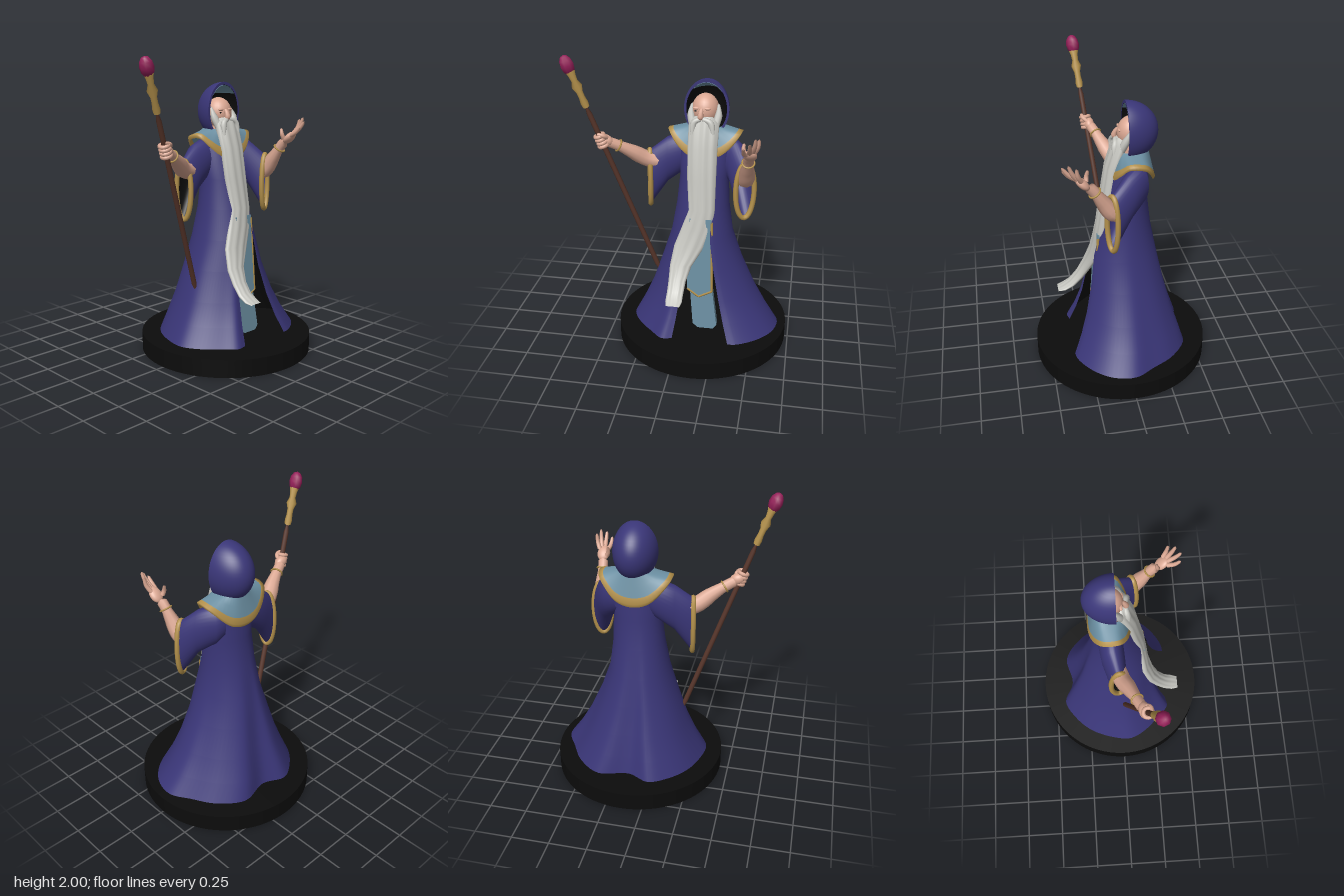
import * as THREE from 'three';

const V = (x, y, z) => new THREE.Vector3(x, y, z);
const mat = (name, color, side = THREE.FrontSide) => {
  const m = new THREE.MeshStandardMaterial({ color, side });
  m.name = name;
  return m;
};

// Surface through rows of points; wrap joins the last column to the first
function loft(rows, wrap) {
  const n = rows[0].length, idx = [];
  for (let r = 0; r < rows.length - 1; r++) {
    for (let c = 0; c < (wrap ? n : n - 1); c++) {
      const a = r * n + c, b = r * n + (c + 1) % n;
      idx.push(a, b, b + n, a, b + n, a + n);
    }
  }
  const g = new THREE.BufferGeometry().setFromPoints(rows.flat());
  g.setIndex(idx);
  g.computeVertexNormals();
  return g;
}

// Same surface facing the other way
function flipped(geo) {
  const g = geo.clone(), i = Array.from(g.index.array);
  for (let k = 0; k < i.length; k += 3) [i[k], i[k + 1]] = [i[k + 1], i[k]];
  g.setIndex(i);
  g.computeVertexNormals();
  return g;
}

// Round limb along a path, with radii spread evenly and both ends closed
function limb(points, radii, seg = 16, sides = 10) {
  const curve = new THREE.CatmullRomCurve3(points);
  const g = new THREE.TubeGeometry(curve, seg, 1, sides), p = g.attributes.position;
  for (let i = 0; i <= seg; i++) {
    const c = curve.getPointAt(i / seg), f = (i / seg) * (radii.length - 1);
    const k = Math.min(Math.floor(f), radii.length - 2);
    let r = THREE.MathUtils.lerp(radii[k], radii[k + 1], f - k);
    if (i === 0 || i === seg) r = 0.001;
    for (let j = 0; j <= sides; j++) {
      const q = i * (sides + 1) + j;
      const v = V().fromBufferAttribute(p, q).sub(c).multiplyScalar(r).add(c);
      p.setXYZ(q, v.x, v.y, v.z);
    }
  }
  return g;
}

export function createModel() {
  const root = new THREE.Group();
  const blue = mat('robe blue', 0x3a3678), black = mat('black', 0x0c0c0c);
  const teal = mat('teal cloth', 0x6c90a3, THREE.DoubleSide);
  const gold = mat('gold trim', 0xb5924c, THREE.DoubleSide);
  const skin = mat('skin', 0xdba893), white = mat('beard white', 0xc6c6c0);
  const wood = mat('wood', 0x57352a), pink = mat('gem pink', 0x96215a);
  const add = (name, geo, m, parent = root) => {
    const o = new THREE.Mesh(geo, m);
    o.name = name;
    parent.add(o);
    return o;
  };
  const ball = (name, m, pos, scale, ws = 24, hs = 18) => {
    const o = add(name, new THREE.SphereGeometry(1, ws, hs), m);
    o.position.copy(pos);
    o.scale.copy(scale);
    return o;
  };

  add('base', new THREE.CylinderGeometry(0.585, 0.585, 0.12, 72), black).position.set(0.143, 0.06, 0);

  // Robe: wavy hem outline that shrinks and smooths toward the shoulders, open in front
  const hem = new THREE.CatmullRomCurve3([
    [0.36, 0.35], [0.42, 0.34], [0.55, 0.26], [0.645, 0.14], [0.67, -0.01], [0.6, -0.14], [0.5, -0.3],
    [0.34, -0.41], [0.14, -0.37], [-0.01, -0.43], [-0.14, -0.36], [-0.25, -0.24], [-0.32, -0.06],
    [-0.33, 0.06], [-0.27, 0.175], [-0.17, 0.28], [-0.09, 0.35], [-0.02, 0.34],
  ].map(([x, z]) => V((x - 0.16) / 0.51, 0, (z + 0.035) / 0.395))).getPoints(85);
  const robeRows = [ // y, right, left, back, front
    [0.125, -0.35, 0.67, -0.43, 0.36], [0.25, -0.28, 0.585, -0.39, 0.31], [0.4, -0.21, 0.5, -0.34, 0.265],
    [0.6, -0.14, 0.41, -0.285, 0.225], [0.8, -0.075, 0.34, -0.24, 0.2], [1.0, -0.04, 0.31, -0.195, 0.15],
    [1.2, -0.02, 0.3, -0.17, 0.11], [1.4, -0.03, 0.32, -0.17, 0.07], [1.48, 0.02, 0.27, -0.15, 0.03],
  ].map(([y, xl, xr, zb, zf]) => hem.map((h) => {
    const p = h.clone().lerp(h.clone().normalize(), Math.min(1, (y - 0.12) / 0.9));
    return V((xl + xr) / 2 + p.x * (xr - xl) / 2, y, (zb + zf) / 2 + p.z * (zf - zb) / 2);
  }));
  const robe = loft(robeRows, false);
  add('robe', robe, blue);
  add('robeLining', flipped(robe), black);

  // Hanging sleeves with gold cuffs; each ring is centre, sideways axis, half width, half height
  const ring = ([c, h, rw, rh]) => Array.from({ length: 32 }, (_, i) => {
    const a = (i / 32) * Math.PI * 2;
    return c.clone().addScaledVector(h.clone().normalize(), rw * Math.cos(a)).add(V(0, rh * Math.sin(a), 0));
  });
  const sleeve = (side, lining, rings) => {
    const rows = rings.map(ring), g = loft(rows, true);
    add(side + 'Sleeve', g, blue);
    add(side + 'SleeveLining', flipped(g), lining);
    const edge = new THREE.CatmullRomCurve3(rows[rows.length - 1], true);
    add(side + 'Cuff', new THREE.TubeGeometry(edge, 64, 0.017, 8, true), gold);
  };
  sleeve('right', black, [
    [V(0.05, 1.35, -0.07), V(0, 0, 1), 0.075, 0.11], [V(0, 1.335, -0.07), V(0, 0, 1), 0.08, 0.135],
    [V(-0.11, 1.275, -0.055), V(0.15, 0, 1), 0.075, 0.155], [V(-0.225, 1.148, -0.025), V(0.25, 0, 1), 0.055, 0.195],
  ]);
  sleeve('left', blue, [
    [V(0.23, 1.35, -0.09), V(0.5, 0, -0.8), 0.075, 0.11], [V(0.28, 1.335, -0.08), V(0.7, 0, -0.7), 0.085, 0.135],
    [V(0.36, 1.28, 0.0), V(0.8, 0, -0.5), 0.075, 0.15], [V(0.42, 1.145, 0.1), V(0.9, 0, -0.38), 0.062, 0.19],
  ]);

  // Shoulder collar: teal mantle with a broad gold edge
  const rim = new THREE.CatmullRomCurve3([
    [0, 1.355, 0.075], [0.11, 1.38, 0.06], [0.19, 1.44, 0.03], [0.237, 1.495, -0.02], [0.232, 1.48, -0.12],
    [0.12, 1.37, -0.195], [0, 1.34, -0.21], [-0.12, 1.37, -0.195], [-0.232, 1.48, -0.12],
    [-0.237, 1.495, -0.02], [-0.19, 1.44, 0.03], [-0.11, 1.38, 0.06],
  ].map(([x, y, z]) => V(0.14 + x, y, z)), true).getPoints(64).slice(0, 64);
  const collarRow = (t) => rim.map((p) =>
    V(0.14 + (p.x - 0.14) * 0.42, 1.525, -0.08 + (p.z + 0.08) * 0.7).lerp(p, t));
  const tuck = rim.map((p) => V(0.14 + (p.x - 0.14) * 0.95, p.y - 0.025, p.z * 0.95));
  add('collar', loft([0, 0.4, 0.78].map(collarRow), true), teal);
  add('collarTrim', loft([collarRow(0.78), collarRow(1), tuck], true), gold);

  // Hood: back half of an egg, with a dark inside and a teal strip under the brow
  const hoodPos = V(0.147, 1.64, -0.028);
  const halfEgg = (s, len = Math.PI) =>
    new THREE.SphereGeometry(1, 32, 24, Math.PI, Math.PI, 0, len).scale(0.145 * s, 0.192 * s, 0.205 * s);
  const oval = (s) => Array.from({ length: 48 }, (_, i) => {
    const a = (i / 48) * Math.PI * 2;
    return V(0.145 * s * Math.cos(a), 0.192 * s * Math.sin(a), 0);
  });
  const hood = new THREE.Group();
  hood.name = 'hood';
  hood.position.copy(hoodPos);
  root.add(hood);
  add('hoodShell', halfEgg(1), blue, hood);
  add('hoodEdge', loft([oval(1), oval(0.9)], true), blue, hood);
  add('hoodLining', flipped(halfEgg(0.9)), black, hood);
  add('hoodBrowStrip', flipped(halfEgg(0.885, 0.85)), teal, hood);

  // Head and face, turned slightly to its right
  ball('head', skin, V(0.135, 1.625, -0.07), V(0.088, 0.105, 0.092));
  add('nose', limb([V(0.122, 1.655, 0.01), V(0.118, 1.625, 0.03), V(0.117, 1.6, 0.035), V(0.118, 1.59, 0.015)],
    [0.01, 0.015, 0.02, 0.01]), skin);
  for (const [x, z] of [[0.086, 0.004], [0.157, 0.011]]) {
    ball('eye', black, V(x, 1.633, z), V(0.014, 0.005, 0.004), 10, 8);
    ball('brow', skin, V(x, 1.652, z), V(0.024, 0.009, 0.011), 10, 8);
  }
  add('neck', new THREE.CylinderGeometry(0.06, 0.07, 0.16, 16), skin).position.set(0.14, 1.5, -0.07);

  // Long beard: ridged sections following an S curve that flicks forward at the tip
  const strands = [ // y, centre x, half width, z, half depth
    [1.605, 0.13, 0.02, 0.0, 0.01], [1.595, 0.133, 0.06, 0.0, 0.03], [1.56, 0.137, 0.098, 0.005, 0.045],
    [1.4, 0.135, 0.097, 0.055, 0.045], [1.2, 0.137, 0.094, 0.09, 0.042], [1.0, 0.145, 0.086, 0.125, 0.037],
    [0.88, 0.118, 0.1, 0.143, 0.035], [0.75, 0.07, 0.1, 0.165, 0.032], [0.62, 0.02, 0.072, 0.21, 0.03],
    [0.53, 0.005, 0.058, 0.26, 0.026], [0.465, 0, 0.055, 0.315, 0.022], [0.435, 0, 0.055, 0.37, 0.015],
    [0.425, 0, 0.045, 0.415, 0.003],
  ];
  add('beard', loft(strands.map(([y, x, w, z, d], i) => {
    const a = strands[Math.max(0, i - 1)], b = strands[Math.min(strands.length - 1, i + 1)];
    const n = V(0, b[3] - a[3], a[0] - b[0]).normalize();
    return Array.from({ length: 48 }, (_, k) => {
      const t = (k / 48) * Math.PI * 2, ridge = 1 + 0.1 * Math.sin(9 * t + i * 0.4);
      return V(x + w * Math.cos(t), y, z).addScaledVector(n, d * ridge * Math.sin(t));
    });
  }), true), white);
  for (const s of [-1, 1]) {
    add('sideburn', limb([V(0.137 + s * 0.085, 1.67, -0.055), V(0.137 + s * 0.088, 1.6, -0.02),
      V(0.137 + s * 0.07, 1.53, 0.01)], [0.006, 0.025, 0.025]), white);
    add('moustache', limb([V(0.125, 1.59, 0.03), V(0.13 + s * 0.05, 1.57, 0.04), V(0.135 + s * 0.07, 1.48, 0.055)],
      [0.014, 0.022, 0.006]), white);
  }

  // Tabard: upper panel with gold-edged point, and a lower panel below it
  const panel = (pts, depth) => new THREE.ExtrudeGeometry(
    new THREE.Shape(pts.map(([x, y]) => new THREE.Vector2(x, y))), { depth, bevelEnabled: false });
  const place = (o, z) => { o.position.z = z; o.rotation.x = -0.06; };
  place(add('tabard', panel([[0.07, 0.95], [0.06, 0.44], [0.14, 0.385], [0.228, 0.43], [0.215, 0.95]], 0.025), teal), 0.195);
  const hemLine = [V(0.062, 0.44, 0), V(0.14, 0.385, 0), V(0.228, 0.43, 0), V(0.217, 0.93, 0)];
  for (let i = 0; i < 3; i++) {
    place(add('tabardTrim', new THREE.TubeGeometry(new THREE.LineCurve3(hemLine[i], hemLine[i + 1]), 1, 0.009, 6), gold), 0.215);
  }
  place(add('lowerTabard', panel([[0.075, 0.46], [0.1, 0.16], [0.135, 0.13], [0.24, 0.13], [0.265, 0.16], [0.225, 0.46]], 0.05), teal), 0.15);

  // Staff with gold head and faceted gem
  const foot = V(-0.15, 0.44, 0.01), top = V(-0.69, 1.95, 0.18);
  const along = (y) => foot.clone().lerp(top, (y - 0.44) / 1.51);
  const lean = new THREE.Quaternion().setFromUnitVectors(V(0, 1, 0), top.clone().sub(foot).normalize());
  add('staff', limb([foot, along(1), along(1.7)], [0.017, 0.017]), wood);
  add('staffHead', limb([along(1.66), along(1.78), along(1.91)],
    [0.02, 0.025, 0.02, 0.021, 0.034, 0.02, 0.024, 0.034], 28), gold);
  const gem = ball('gem', pink, V(-0.688, 1.938, 0.178), V(0.044, 0.066, 0.044), 8, 6);
  gem.quaternion.copy(lean);

  // Right arm gripping the staff
  add('rightArm', limb([V(-0.1, 1.26, -0.05), V(-0.24, 1.285, -0.01), V(-0.33, 1.345, 0.035), V(-0.42, 1.4, 0.075),
    V(-0.49, 1.435, 0.105)], [0.05, 0.056, 0.052, 0.036, 0.034]), skin);
  const rightPalm = ball('rightPalm', skin, V(-0.485, 1.438, 0.105), V(0.05, 0.038, 0.034));
  rightPalm.rotation.z = -0.4;
  for (let i = 0; i < 4; i++) {
    const f = add('rightFinger', new THREE.TorusGeometry(0.029, 0.013, 8, 16).rotateX(Math.PI / 2), skin);
    f.position.copy(along(1.408 + i * 0.022));
    f.quaternion.copy(lean);
  }
  add('rightThumb', limb([V(-0.47, 1.46, 0.12), V(-0.49, 1.48, 0.145), V(-0.53, 1.49, 0.15)], [0.014, 0.015, 0.01]), skin);

  // Left arm with open, raised hand
  add('leftArm', limb([V(0.39, 1.2, 0.02), V(0.425, 1.23, 0.1), V(0.435, 1.31, 0.16), V(0.445, 1.4, 0.22),
    V(0.45, 1.44, 0.255)], [0.045, 0.055, 0.05, 0.034, 0.034]), skin);
  const leftPalm = ball('leftPalm', skin, V(0.458, 1.46, 0.285), V(0.042, 0.055, 0.026));
  leftPalm.rotation.x = 0.8;
  for (const [a, b, c] of [
    [V(0.435, 1.475, 0.31), V(0.425, 1.5, 0.36), V(0.425, 1.54, 0.4)],
    [V(0.455, 1.485, 0.315), V(0.46, 1.525, 0.365), V(0.463, 1.575, 0.405)],
    [V(0.473, 1.49, 0.31), V(0.487, 1.54, 0.345), V(0.495, 1.6, 0.37)],
    [V(0.483, 1.48, 0.29), V(0.505, 1.53, 0.315), V(0.512, 1.585, 0.325)],
    [V(0.43, 1.45, 0.26), V(0.415, 1.485, 0.255), V(0.417, 1.525, 0.245)],
  ]) add('leftFinger', limb([a, b, c], [0.016, 0.014, 0.009], 10, 8), skin);

  // Gold bracelets
  for (const [name, p, d] of [['rightBracelet', V(-0.41, 1.394, 0.071), V(0.09, -0.055, -0.04)],
    ['leftBracelet', V(0.443, 1.385, 0.21), V(0.01, 0.09, 0.06)]]) {
    const b = add(name, new THREE.TorusGeometry(0.038, 0.006, 6, 24), gold);
    b.position.copy(p);
    b.quaternion.setFromUnitVectors(V(0, 0, 1), d.normalize());
  }
  return root;
}
